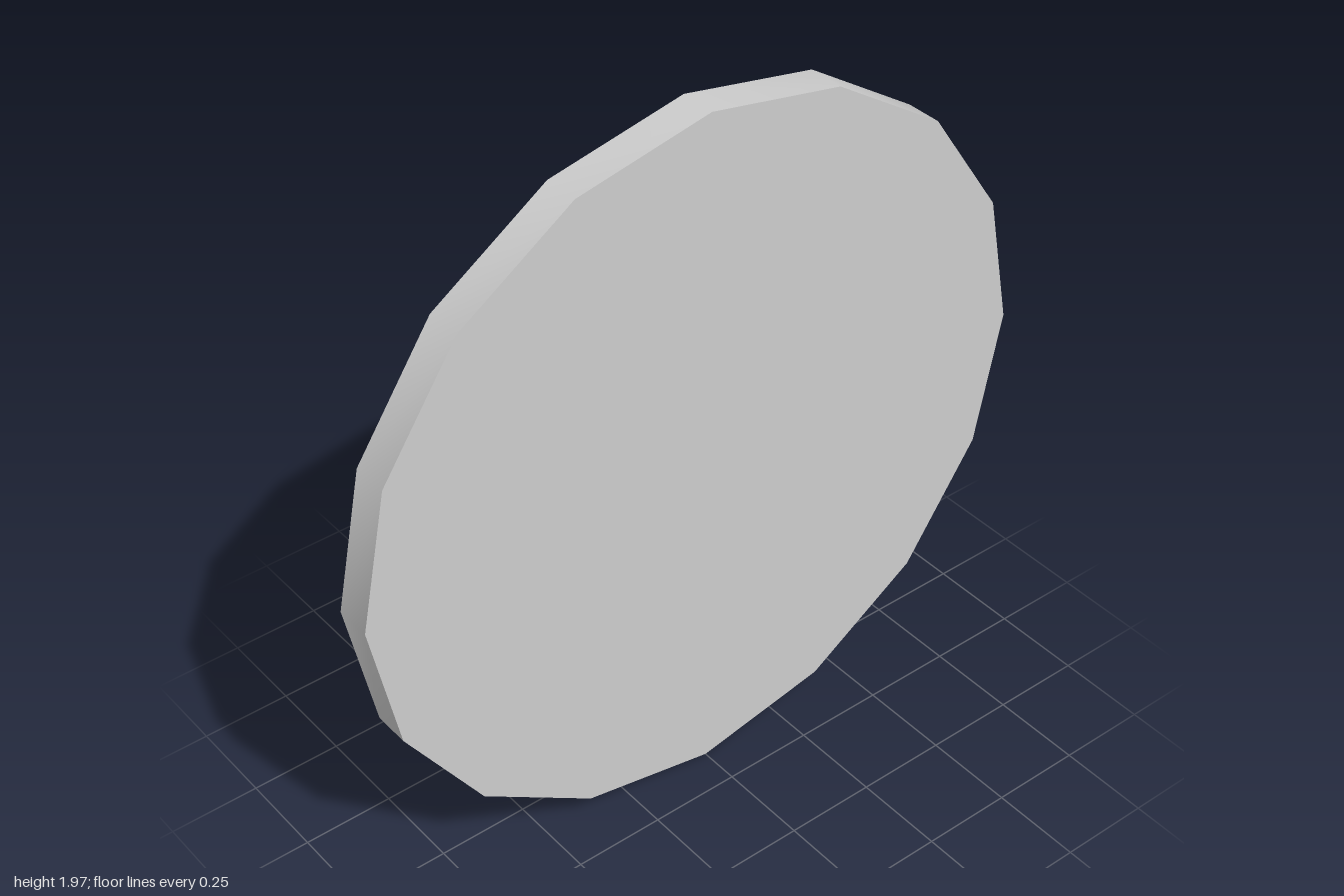
import * as THREE from 'three';
import { toCreasedNormals } from 'three/addons/utils/BufferGeometryUtils.js';

const RY = 0.986;       // half height of the slightly squashed disc
const FLOOR_Z = 0.11;   // bottom of the recess in the back

// Sixteen-sided dish: flat front, raised rim around the back
function makeDisc(material) {
  const profile = [[0, FLOOR_Z], [0.967, FLOOR_Z], [0.967, 0.04], [1, 0.04], [1, 0.14], [0, 0.14]]
    .map(([r, z]) => new THREE.Vector2(r, z));
  const geometry = new THREE.LatheGeometry(profile, 16);
  geometry.rotateX(Math.PI / 2);
  geometry.scale(1, RY, 1);
  const disc = new THREE.Mesh(toCreasedNormals(geometry, Math.PI / 6), material);
  disc.name = 'shieldDisc';
  disc.position.y = RY;
  return disc;
}

// Thin band: two flat feet on the floor and a raised grip between them
function makeStrap(material, name, y) {
  const foot = FLOOR_Z - 0.002, top = -0.141;
  const path = [[0.5, foot], [0.245, foot], [0.037, top], [-0.037, top], [-0.245, foot], [-0.5, foot]];
  const geometry = new THREE.PlaneGeometry(1, 0.167, path.length - 1, 1);
  const pos = geometry.attributes.position;
  for (let i = 0; i < pos.count; i++) {
    const [x, z] = path[i % path.length];
    pos.setX(i, x);
    pos.setZ(i, z);
  }
  const strap = new THREE.Mesh(toCreasedNormals(geometry, Math.PI / 6), material);
  strap.name = name;
  strap.position.y = y;
  return strap;
}

export function createModel() {
  const group = new THREE.Group();
  group.name = 'roundShield';
  const solid = new THREE.MeshStandardMaterial({ color: 0xcccccc });
  const thin = new THREE.MeshStandardMaterial({ color: 0xcccccc, side: THREE.DoubleSide });
  group.add(
    makeDisc(solid),
    makeStrap(thin, 'upperStrap', 1.312),
    makeStrap(thin, 'lowerStrap', 0.609)
  );
  return group;
}
